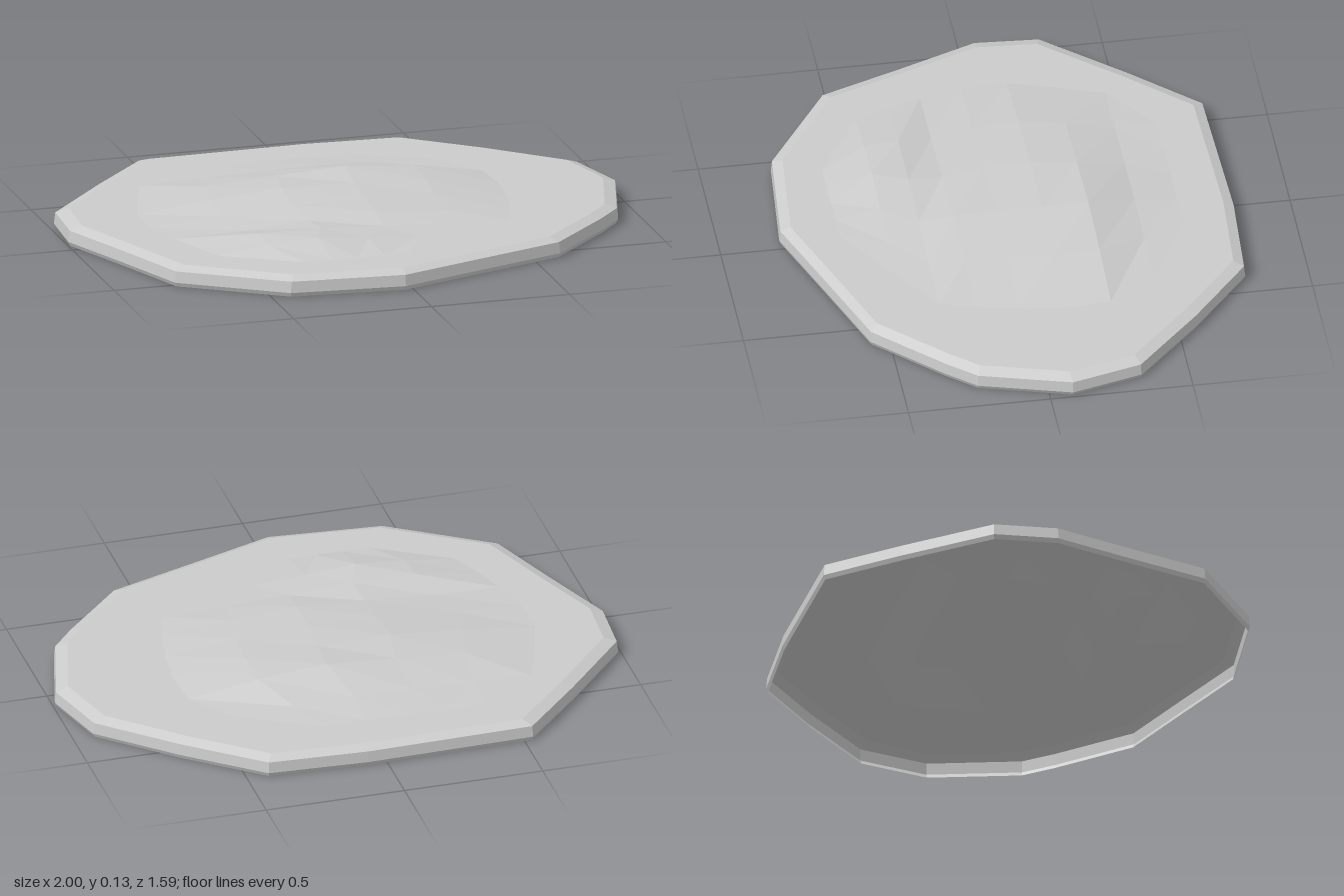
import * as THREE from 'three';

const material = new THREE.MeshStandardMaterial({
  color: 0xcccccc, flatShading: true, side: THREE.DoubleSide,
});
const TOP = 0.07;

// Irregular plan outline as [x, z], starting at the back left
const OUTLINE = [
  [-0.53, -0.78], [0.07, -0.795], [0.425, -0.775], [0.68, -0.565], [0.93, -0.33],
  [0.995, -0.08], [0.905, 0.24], [0.82, 0.34], [0.595, 0.57], [0.28, 0.68],
  [-0.03, 0.79], [-0.435, 0.755], [-0.785, 0.52], [-0.89, 0.235], [-1, -0.05],
  [-0.985, -0.275], [-0.745, -0.55],
];

// Mound cross-sections from back to front: z, left x, right x, heights above the slab
const SECTIONS = [
  [-0.60, -0.42, 0.32, [0, 0, 0, 0, 0, 0]],
  [-0.45, -0.62, 0.45, [0, 0.006, 0.012, 0.015, 0.008, 0]],
  [-0.28, -0.68, 0.57, [0, 0.029, 0.045, 0.06, 0.04, 0]],
  [-0.12, -0.73, 0.58, [0, 0.03, 0.05, 0.047, 0.036, 0]],
  [0.04, -0.73, 0.56, [0, 0.016, 0.035, 0.04, 0.027, 0]],
  [0.19, -0.69, 0.53, [0, 0.006, 0.022, 0.034, 0.019, 0]],
  [0.31, -0.65, 0.49, [0, 0.03, 0.031, 0.016, 0.008, 0]],
  [0.43, -0.60, 0.30, [0, 0.022, 0.035, 0.018, 0.005, 0]],
  [0.59, -0.43, 0.05, [0, 0, 0, 0, 0, 0]],
];

// Skin a list of equally long point rows
function skin(name, rows, closed) {
  const n = rows[0].length, index = [];
  for (let j = 0; j < rows.length - 1; j++) {
    for (let i = 0; i < (closed ? n : n - 1); i++) {
      const k = (i + 1) % n;
      const a = j * n + i, b = j * n + k, c = b + n, d = a + n;
      index.push(a, d, c, a, c, b);
    }
  }
  const geometry = new THREE.BufferGeometry();
  geometry.setAttribute('position', new THREE.Float32BufferAttribute(rows.flat(2), 3));
  geometry.setIndex(index);
  geometry.computeVertexNormals();
  const mesh = new THREE.Mesh(geometry, material);
  mesh.name = name;
  return mesh;
}

const ring = (scale, y) => OUTLINE.map(([x, z]) => [x * scale, y, z * scale]);
const planPoint = ([x, , z]) => new THREE.Vector2(x, -z);

export function createModel() {
  const group = new THREE.Group();
  group.name = 'stoneSlab';

  // Rim, open below: tucked foot, upright wall and top bevel
  const bevelEdge = ring(0.95, TOP);
  group.add(skin('rim', [ring(0.992, 0), ring(1, 0.015), ring(0.995, 0.055), bevelEdge], true));

  // Low faceted mound
  const mound = SECTIONS.map(([z, x0, x1, heights]) => heights.map((h, i) =>
    [x0 + (x1 - x0) * i / (heights.length - 1), TOP + h, z]));
  group.add(skin('mound', mound, false));

  // Flat top around the mound
  const border = [
    ...mound[0],
    ...mound.slice(1, -1).map((row) => row[row.length - 1]),
    ...mound[mound.length - 1].slice().reverse(),
    ...mound.slice(1, -1).map((row) => row[0]).reverse(),
  ];
  const shape = new THREE.Shape(bevelEdge.map(planPoint));
  shape.holes.push(new THREE.Path(border.map(planPoint)));
  const flatTop = new THREE.Mesh(new THREE.ShapeGeometry(shape), material);
  flatTop.name = 'flatTop';
  flatTop.rotation.x = -Math.PI / 2;
  flatTop.position.y = TOP;
  group.add(flatTop);

  return group;
}
